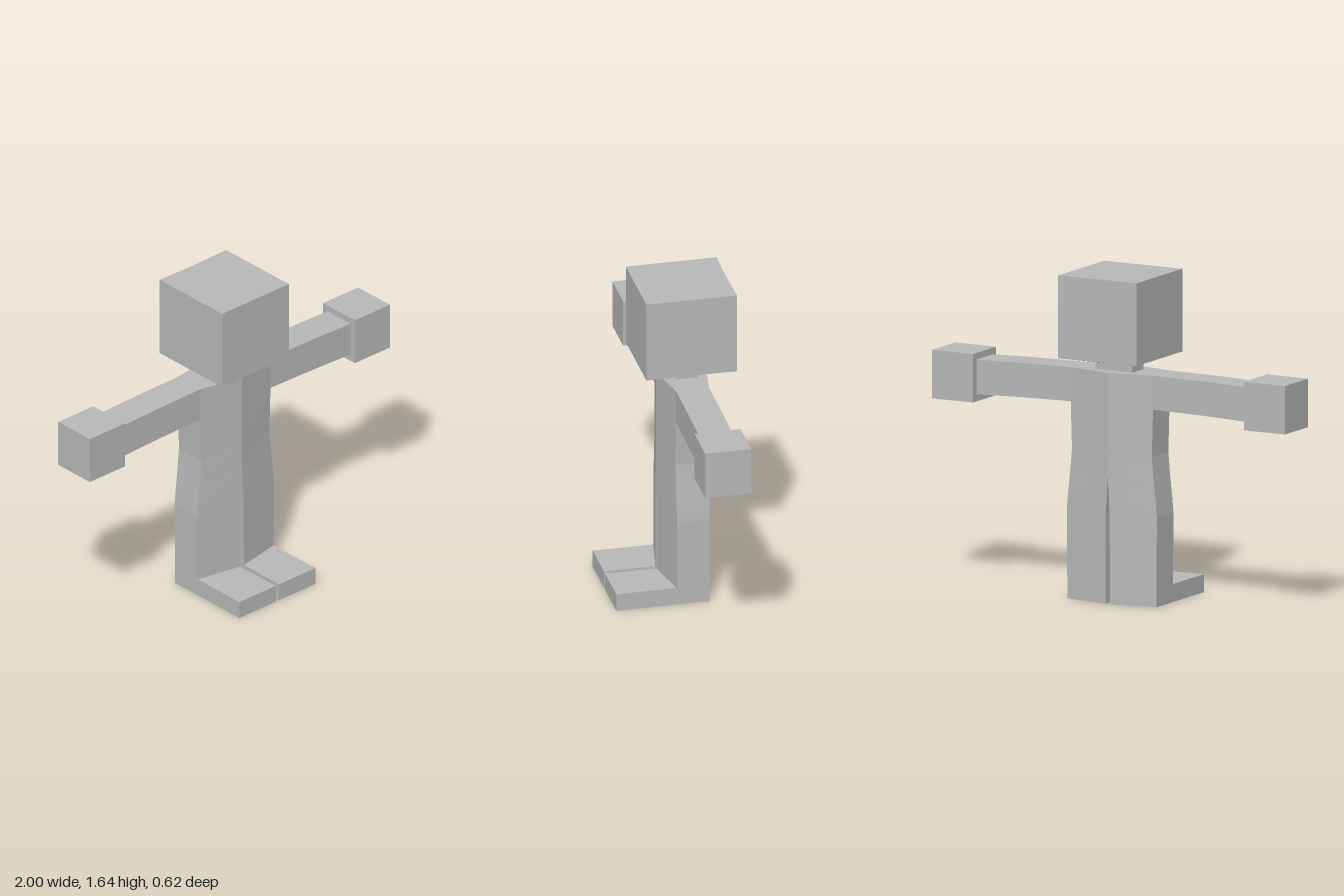
import * as THREE from 'three';

const grey = new THREE.MeshStandardMaterial({ color: 0xb8b8b8 });
grey.name = 'plain grey';

// Solid skinned over rings of [x, y, z] corners, with flat facets and closed ends.
function loft(name, rings) {
  const p = [];
  const tri = (a, b, c) => p.push(...a, ...b, ...c);
  const n = rings[0].length;
  for (let i = 0; i < rings.length - 1; i++) {
    for (let j = 0; j < n; j++) {
      const k = (j + 1) % n;
      const a = rings[i][j], b = rings[i][k], c = rings[i + 1][k], d = rings[i + 1][j];
      tri(a, b, c);
      tri(a, c, d);
    }
  }
  const lo = rings[0], hi = rings[rings.length - 1];
  for (let j = 1; j < n - 1; j++) {
    tri(lo[0], lo[j + 1], lo[j]);
    tri(hi[0], hi[j], hi[j + 1]);
  }
  const g = new THREE.BufferGeometry();
  g.setAttribute('position', new THREE.Float32BufferAttribute(p, 3));
  g.computeVertexNormals();
  const mesh = new THREE.Mesh(g, grey);
  mesh.name = name;
  return mesh;
}

// Mirror rings in x, reversing the corner order so faces stay outward.
const mirror = (rings) => rings.map((r) => r.map(([x, y, z]) => [-x, y, z]).reverse());

function box(name, x0, x1, y0, y1, z0, z1) {
  const g = new THREE.BoxGeometry(x1 - x0, y1 - y0, z1 - z0);
  g.translate((x0 + x1) / 2, (y0 + y1) / 2, (z0 + z1) / 2);
  const mesh = new THREE.Mesh(g, grey);
  mesh.name = name;
  return mesh;
}

export function createModel() {
  const model = new THREE.Group();
  model.name = 'blockFigure';

  // Torso half and leg: [height, inner x, outer x], deeper along the middle
  const bodyRings = [
    [0, 0.013, 0.252], [0.45, 0.011, 0.255], [0.52, 0.007, 0.249],
    [0.64, 0, 0.236], [0.75, 0, 0.226], [0.99, 0, 0.233], [1.16, 0, 0.233],
  ].map(([y, xi, xo]) => [[xi, y, 0.05], [xo, y, 0.003], [xo, y, -0.163], [xi, y, -0.205]]);

  // Foot
  const footRings = [0, 0.09].map((y) => [
    [0.011, y, 0.31], [0.254, y, 0.31], [0.252, y, 0], [0.013, y, 0.045],
  ]);

  // Arm: [x, bottom, top]
  const armRings = [[0.23, 0.99, 1.16], [0.52, 0.985, 1.157], [0.77, 0.976, 1.15]]
    .map(([x, y0, y1]) => [[x, y0, 0.003], [x, y0, -0.165], [x, y1, -0.165], [x, y1, 0.003]]);

  for (const side of ['left', 'right']) {
    const fit = (rings) => (side === 'left' ? rings : mirror(rings));
    model.add(loft(side + 'BodyAndLeg', fit(bodyRings)));
    model.add(loft(side + 'Foot', fit(footRings)));
    model.add(loft(side + 'Arm', fit(armRings)));
    const [x0, x1] = side === 'left' ? [0.767, 1] : [-1, -0.767];
    model.add(box(side + 'Hand', x0, x1, 0.94, 1.183, -0.198, 0.035));
  }

  // Neck
  model.add(box('neck', -0.105, 0.105, 1.14, 1.2, -0.14, -0.03));

  // Head with tapered underside: [height, half width, front z, back z]
  model.add(loft('head', [
    [1.195, 0.105, -0.018, -0.147], [1.23, 0.222, 0.15, -0.31], [1.645, 0.222, 0.15, -0.31],
  ].map(([y, w, f, b]) => [
    [-w, y, f], [0, y, f], [w, y, f], [w, y, b], [0, y, b + 0.005], [-w, y, b],
  ])));

  return model;
}
